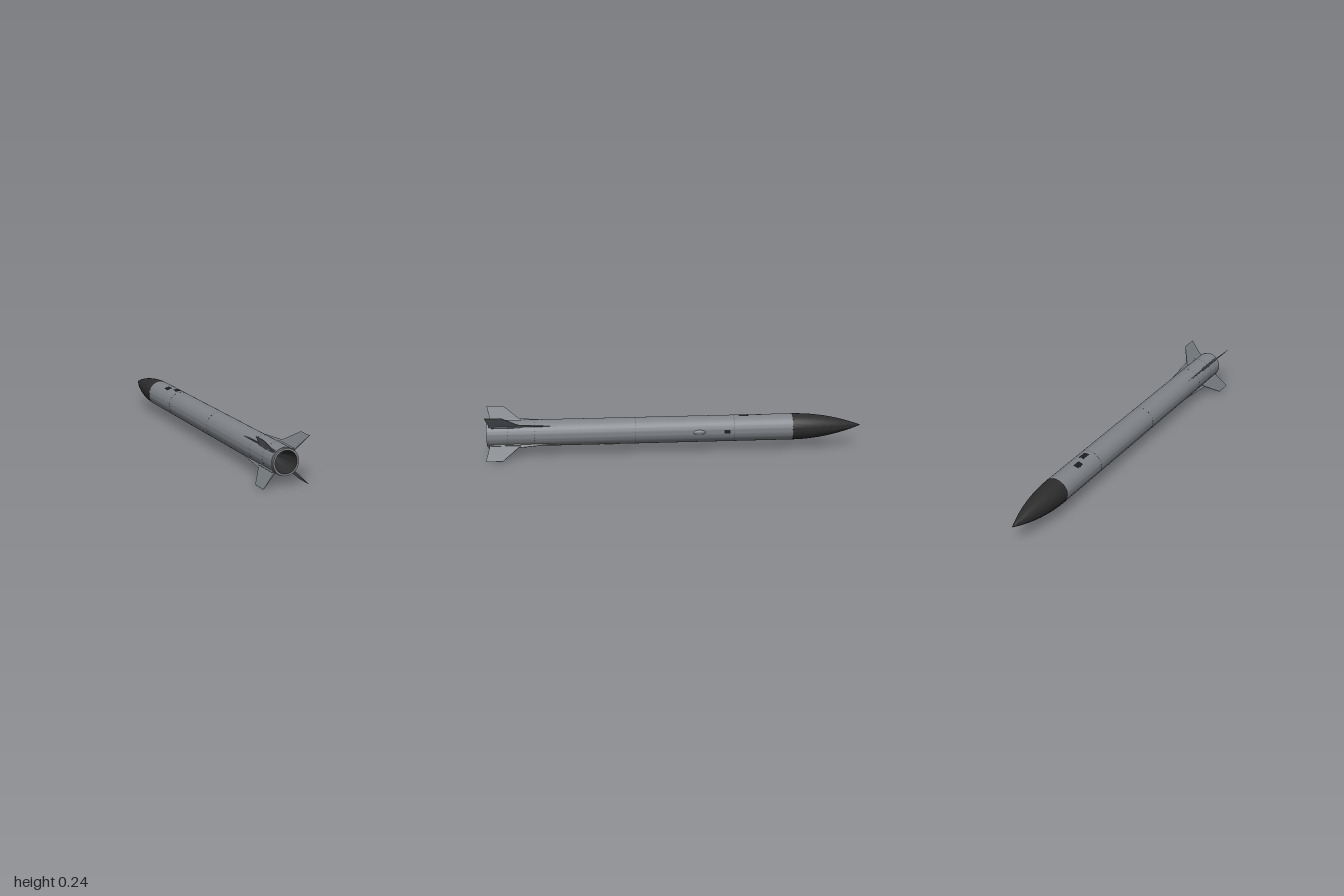
import * as THREE from 'three';
import { toCreasedNormals } from 'three/addons/utils/BufferGeometryUtils.js';

const mat = (name, color) => {
  const m = new THREE.MeshStandardMaterial({ color });
  m.name = name;
  return m;
};

export function createModel() {
  const grey = mat('bodyGrey', 0x7f8388);
  const finGrey = mat('finGrey', 0x74797d);
  const dark = mat('noseBlack', 0x2c2c2c);
  const marking = mat('markingBlack', 0x1c1d1f);
  const seamGrey = mat('seamGrey', 0x4c4f53);

  const model = new THREE.Group();
  model.name = 'missile';
  const R = 0.07;
  const axis = new THREE.Group();
  axis.name = 'airframe';
  axis.position.y = 0.119;
  model.add(axis);

  const add = (geometry, material, name, parent = axis) => {
    const mesh = new THREE.Mesh(geometry, material);
    mesh.name = name;
    parent.add(mesh);
    return mesh;
  };

  // Revolved part: points are [radius, z], running from tail to nose on the outside
  const revolve = (points, material, name) => {
    const g = new THREE.LatheGeometry(points.map(([r, z]) => new THREE.Vector2(r, -z)), 64);
    g.rotateX(-Math.PI / 2);
    return add(toCreasedNormals(g, 0.5), material, name);
  };

  // Body tube, tail lip and the exhaust bell inside it
  revolve([[R, 0.982], [R, -0.625]], grey, 'bodyTube');
  revolve([[0.057, 0.995], [0.067, 0.995], [0.067, 0.982], [R, 0.982]], grey, 'tailRing');
  revolve([[0, 0.86], [0.018, 0.86], [0.03, 0.885], [0.043, 0.925], [0.052, 0.965], [0.057, 0.995]], dark, 'exhaustBell');

  // Ogive nose
  const noseLength = 0.375;
  const rho = (R * R + noseLength * noseLength) / (2 * R);
  const nose = [];
  for (let i = 0; i <= 20; i++) {
    const d = (i / 20) * noseLength;
    nose.push([Math.max(0, Math.sqrt(rho * rho - d * d) - rho + R), -0.625 - d]);
  }
  revolve(nose, dark, 'noseCone');

  // Curved plate lying on the skin: angle is measured from +x towards +y
  const skinPlate = (angle, z, width, length, material, name, lift = 0.001) => {
    const arc = width / R;
    const shape = new THREE.Shape();
    shape.absarc(0, 0, R + lift, angle - arc / 2, angle + arc / 2, false);
    shape.absarc(0, 0, R - 0.002, angle + arc / 2, angle - arc / 2, true);
    const g = new THREE.ExtrudeGeometry(shape, { depth: length, bevelEnabled: false, curveSegments: 6 });
    g.translate(0, 0, z - length / 2);
    return add(g, material, name);
  };

  // Dashed panel joints
  for (const [z, count] of [[-0.625, 40], [-0.31, 32], [0.215, 24], [0.745, 24], [0.885, 24]]) {
    for (let i = 0; i < count; i++) {
      skinPlate(((i + 0.5) / count) * Math.PI * 2, z, 0.0065, 0.004, z < -0.6 ? dark : seamGrey, 'jointFastener', 0.0004);
    }
  }

  // Painted panels on top and on the left side
  skinPlate(Math.PI / 2 + 0.3, -0.45, 0.03, 0.045, marking, 'upperMarking', 0.0006);
  skinPlate(Math.PI / 2, -0.365, 0.03, 0.05, marking, 'topMarking', 0.0006);
  skinPlate(0, -0.27, 0.02, 0.032, marking, 'sideMarking', 0.0006);

  // Side fairing and underside lug
  const fairing = new THREE.SphereGeometry(1, 20, 14);
  fairing.scale(0.01, 0.013, 0.034);
  fairing.translate(0.067, 0, -0.122);
  add(fairing, grey, 'sideFairing');
  skinPlate(-Math.PI / 2, 0.355, 0.014, 0.05, grey, 'undersideLug', 0.004);

  // Thin panel from [radius, z] points, tapering in thickness towards the tip
  const panel = (points, rootThickness, tipThickness, tipRadius) => {
    const shape = new THREE.Shape(points.map(([r, z]) => new THREE.Vector2(r, -z)));
    const g = new THREE.ExtrudeGeometry(shape, { depth: 1, bevelEnabled: false });
    g.translate(0, 0, -0.5);
    const p = g.attributes.position;
    for (let i = 0; i < p.count; i++) {
      const t = (p.getX(i) - R) / (tipRadius - R);
      p.setZ(i, p.getZ(i) * THREE.MathUtils.lerp(rootThickness, tipThickness, t));
    }
    g.rotateX(-Math.PI / 2);
    g.computeVertexNormals();
    return g;
  };

  // Four diagonal tail fins, each with a strake ahead and a root mount
  for (let i = 0; i < 4; i++) {
    const unit = new THREE.Group();
    unit.name = 'tailFinUnit';
    unit.rotation.z = Math.PI / 4 + (i * Math.PI) / 2;
    axis.add(unit);
    add(panel([[0.073, 0.982], [0.09, 0.982], [0.166, 1], [0.166, 0.912], [0.09, 0.832], [0.073, 0.815]],
      0.006, 0.002, 0.166), finGrey, 'tailFin', unit);
    add(panel([[0.066, 0.825], [0.088, 0.825], [0.07, 0.63], [0.066, 0.63]],
      0.006, 0.003, 0.088), finGrey, 'strake', unit);
    const mount = new THREE.BoxGeometry(0.012, 0.015, 0.15);
    mount.translate(0.071, 0, 0.895);
    add(mount, grey, 'finMount', unit);
  }
  return model;
}
